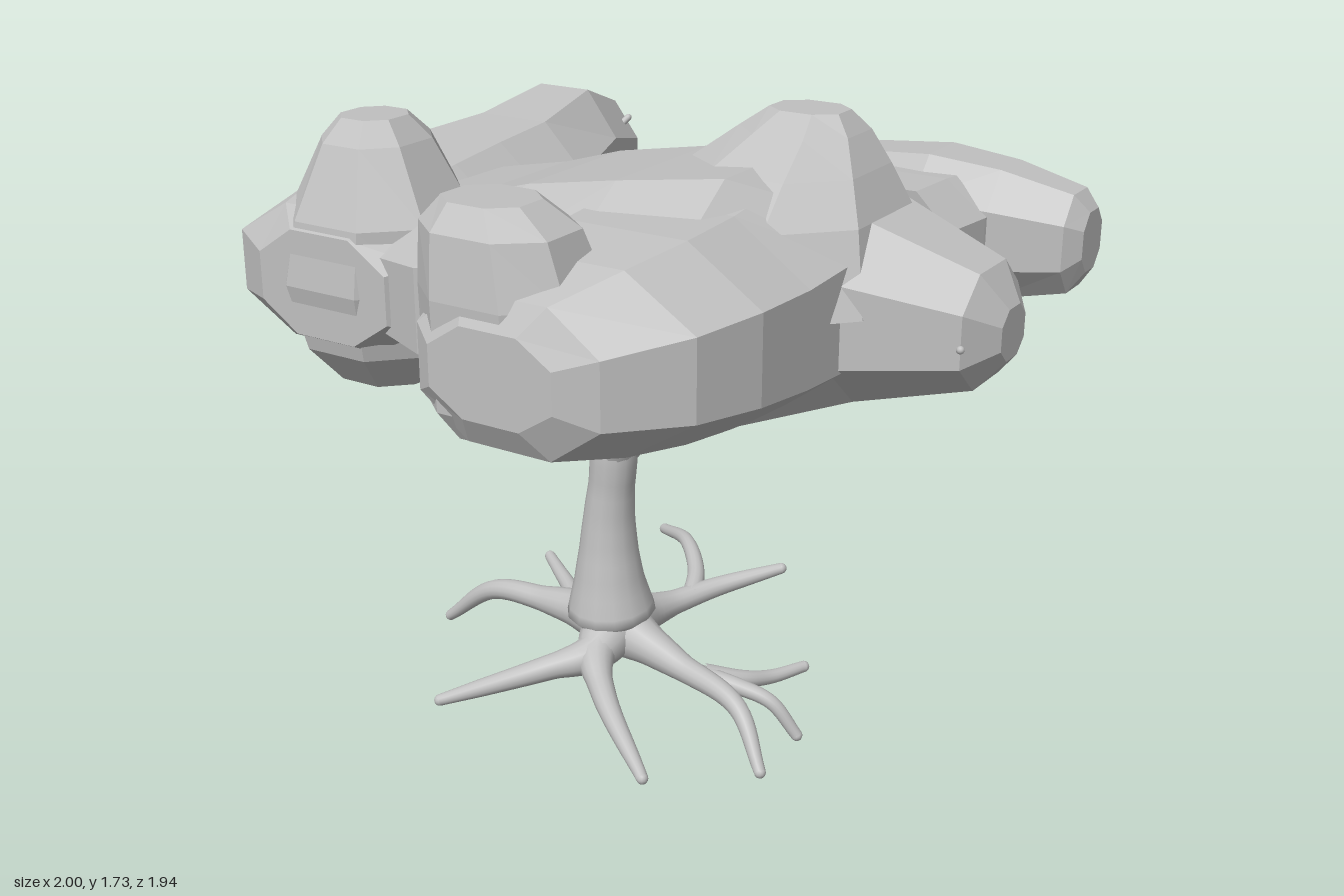
import * as THREE from 'three';
import { mergeVertices } from 'three/addons/utils/BufferGeometryUtils.js';

const grey = new THREE.MeshStandardMaterial({ color: 0xc0c0c0 });
grey.name = 'grey';

function addMesh(parent, geometry, name) {
  const mesh = new THREE.Mesh(geometry, grey);
  mesh.name = name;
  parent.add(mesh);
  return mesh;
}

// Eight-sided section, slightly fuller than a regular octagon
const F = 0.46;
const SECTION = [[1, F], [F, 1], [-F, 1], [-1, F], [-1, -F], [-F, -1], [F, -1], [1, -F]];

// Faceted loft along the given axis.
// Each station is [position, lowA, highA, lowB, highB]:
// axis x: A = z, B = y; axis z: A = x, B = y; axis y: A = x, B = z.
function loft(axis, stations) {
  const n = SECTION.length;
  const place = {
    x: (t, a, b) => [t, b, a],
    y: (t, a, b) => [a, t, b],
    z: (t, a, b) => [a, b, t],
  }[axis];
  const points = [];
  for (const [t, a0, a1, b0, b1] of stations) {
    for (const [p, q] of SECTION) {
      points.push(place(t, (a0 + a1 + p * (a1 - a0)) / 2, (b0 + b1 + q * (b1 - b0)) / 2));
    }
  }
  const index = [];
  const face = (a, b, c) => (axis === 'z' ? index.push(a, b, c) : index.push(a, c, b));
  for (let s = 0; s < stations.length - 1; s++) {
    for (let i = 0; i < n; i++) {
      const a = s * n + i, b = s * n + ((i + 1) % n);
      face(a, b, b + n);
      face(a, b + n, a + n);
    }
  }
  const last = (stations.length - 1) * n;
  for (let i = 1; i < n - 1; i++) {
    face(0, i + 1, i);
    face(last, last + i, last + i + 1);
  }
  const indexed = new THREE.BufferGeometry();
  indexed.setAttribute('position', new THREE.Float32BufferAttribute(points.flat(), 3));
  indexed.setIndex(index);
  const flat = indexed.toNonIndexed();
  flat.computeVertexNormals();
  return flat;
}

// Smooth tapering limb: a tube whose rings follow a list of radii, with a round tip.
function addLimb(parent, name, path, radii) {
  const group = new THREE.Group();
  group.name = name;
  const curve = new THREE.CatmullRomCurve3(path.map((p) => new THREE.Vector3(...p)));
  const steps = 28, sides = 14;
  let tube = new THREE.TubeGeometry(curve, steps, 1, sides);
  const pos = tube.attributes.position;
  const v = new THREE.Vector3();
  for (let s = 0; s <= steps; s++) {
    const u = s / steps;
    const centre = curve.getPointAt(u);
    const f = u * (radii.length - 1);
    const n = Math.min(Math.floor(f), radii.length - 2);
    const r = THREE.MathUtils.lerp(radii[n], radii[n + 1], f - n);
    for (let i = 0; i <= sides; i++) {
      const k = s * (sides + 1) + i;
      v.fromBufferAttribute(pos, k).sub(centre).multiplyScalar(r).add(centre);
      pos.setXYZ(k, v.x, v.y, v.z);
    }
  }
  tube.deleteAttribute('uv');
  tube.deleteAttribute('normal');
  tube = mergeVertices(tube);
  tube.computeVertexNormals();
  addMesh(group, tube, name + 'Tube');
  const tip = addMesh(group, new THREE.SphereGeometry(radii[radii.length - 1], 12, 8), name + 'Tip');
  tip.position.set(...path[path.length - 1]);
  parent.add(group);
}

export function createModel() {
  const tree = new THREE.Group();
  tree.name = 'tree';

  // Foliage: overlapping faceted masses
  const canopy = new THREE.Group();
  canopy.name = 'canopy';
  tree.add(canopy);
  addMesh(canopy, loft('x', [
    [-0.65, -0.05, 0.55, 1.09, 1.44],
    [-0.42, -0.17, 0.63, 1.05, 1.48],
    [-0.27, -0.19, 0.69, 1.03, 1.51],
    [-0.1, -0.2, 0.69, 1.01, 1.56],
    [0.15, -0.23, 0.68, 0.98, 1.6],
    [0.4, -0.32, 0.6, 0.99, 1.62],
    [0.64, -0.27, 0.27, 1.04, 1.51],
    [0.94, -0.15, 0.18, 1.12, 1.41],
    [1.0, -0.06, 0.08, 1.19, 1.32],
  ]), 'centralFoliage');
  addMesh(canopy, loft('z', [
    [-0.72, -0.73, -0.6, 1.2, 1.43],
    [-0.66, -0.81, -0.51, 1.12, 1.51],
    [-0.47, -0.83, -0.46, 1.09, 1.58],
    [-0.2, -0.87, -0.39, 1.05, 1.54],
    [0, -0.95, -0.37, 1.03, 1.52],
    [0.2, -0.97, -0.36, 1.03, 1.5],
    [0.42, -1.0, -0.34, 1.05, 1.47],
    [0.57, -0.96, -0.34, 1.08, 1.44],
    [0.65, -0.82, -0.4, 1.12, 1.4],
  ]), 'rightFoliage');
  addMesh(canopy, loft('y', [
    [0.97, -0.73, -0.47, 0.28, 0.54],
    [1.07, -0.81, -0.4, 0.2, 0.62],
    [1.25, -0.86, -0.36, 0.16, 0.66],
    [1.42, -0.82, -0.37, 0.2, 0.64],
    [1.61, -0.73, -0.47, 0.28, 0.56],
    [1.67, -0.68, -0.52, 0.34, 0.51],
  ]), 'rightFoliageCrown');
  addMesh(canopy, loft('y', [
    [1.3, 0.0, 0.72, -0.32, 0.46],
    [1.5, 0.06, 0.67, -0.27, 0.36],
    [1.6, 0.17, 0.62, -0.2, 0.25],
    [1.68, 0.27, 0.57, -0.14, 0.14],
    [1.73, 0.34, 0.53, -0.07, 0.08],
  ]), 'topCrown');
  addMesh(canopy, loft('z', [
    [-0.05, 0.1, 0.68, 1.0, 1.6],
    [0.2, -0.1, 0.67, 1.0, 1.58],
    [0.4, -0.1, 0.66, 1.02, 1.55],
    [0.6, -0.08, 0.65, 1.05, 1.54],
    [0.78, -0.1, 0.59, 1.07, 1.51],
    [0.93, -0.06, 0.44, 1.09, 1.45],
    [0.97, 0.0, 0.34, 1.16, 1.38],
  ]), 'frontFoliage');
  addMesh(canopy, loft('y', [
    [1.08, -0.05, 0.26, 0.64, 0.91],
    [1.15, -0.11, 0.31, 0.6, 0.95],
    [1.42, -0.11, 0.31, 0.6, 0.96],
    [1.57, -0.1, 0.26, 0.65, 0.94],
    [1.63, -0.05, 0.17, 0.7, 0.89],
  ]), 'frontCrown');
  addMesh(canopy, loft('z', [
    [-0.85, 0.2, 0.68, 1.1, 1.42],
    [-0.62, 0.21, 0.65, 1.08, 1.43],
    [-0.45, 0.25, 0.62, 1.06, 1.43],
    [-0.27, 0.2, 0.65, 1.03, 1.48],
    [-0.05, 0.12, 0.7, 1.0, 1.62],
  ]), 'backFoliageNeck');
  addMesh(canopy, loft('x', [
    [-0.07, -0.88, -0.74, 1.18, 1.35],
    [-0.03, -0.91, -0.69, 1.12, 1.4],
    [0.2, -0.94, -0.63, 1.08, 1.45],
    [0.44, -0.97, -0.6, 1.07, 1.47],
    [0.65, -0.94, -0.63, 1.08, 1.45],
    [0.85, -0.91, -0.69, 1.12, 1.4],
    [0.89, -0.88, -0.74, 1.18, 1.35],
  ]), 'backFoliageBar');

  // Trunk and the forks that carry the foliage
  addLimb(tree, 'trunk',
    [[-0.07, 0.18, 0.14], [-0.075, 0.35, 0.15], [-0.075, 0.55, 0.15], [-0.06, 0.72, 0.15], [-0.055, 0.85, 0.145]],
    [0.03, 0.125, 0.1, 0.083, 0.072, 0.064, 0.066, 0.06]);
  const forks = [
    [[-0.07, 0.77, 0.145], [-0.12, 0.87, 0.145], [-0.23, 1.0, 0.14], [-0.36, 1.13, 0.14]],
    [[-0.05, 0.77, 0.155], [-0.02, 0.88, 0.2], [0.02, 1.02, 0.27], [0.06, 1.15, 0.34]],
    [[-0.05, 0.77, 0.13], [0.02, 0.87, 0.06], [0.12, 1.0, -0.06], [0.23, 1.13, -0.16]],
  ];
  forks.forEach((path, i) => addLimb(tree, 'fork' + (i + 1), path, [0.058, 0.045, 0.035, 0.03]));

  // Roots: main roots leave the trunk, thinner ones split off them
  const mainRoots = [
    [[-0.07, 0.24, 0.14], [-0.3, 0.23, 0.13], [-0.5, 0.21, 0.13], [-0.68, 0.07, 0.12]],
    [[-0.06, 0.23, 0.16], [-0.05, 0.2, 0.27], [-0.14, 0.17, 0.37], [-0.39, 0.07, 0.53]],
    [[-0.06, 0.23, 0.16], [-0.04, 0.2, 0.27], [0.06, 0.15, 0.38], [0.28, 0.05, 0.53]],
    [[-0.06, 0.23, 0.14], [0.16, 0.18, 0.17], [0.38, 0.14, 0.22], [0.5, 0.02, 0.3]],
    [[-0.06, 0.23, 0.13], [-0.02, 0.21, -0.06], [0.06, 0.23, -0.2], [0.2, 0.27, -0.34]],
  ];
  const sideRoots = [
    [[-0.2, 0.24, 0.13], [-0.28, 0.25, 0.06], [-0.35, 0.26, 0.01], [-0.42, 0.27, -0.04]],
    [[0.2, 0.17, 0.17], [0.34, 0.15, 0.14], [0.43, 0.12, 0.12], [0.5, 0.03, 0.1]],
    [[0.24, 0.17, 0.16], [0.32, 0.14, 0.08], [0.36, 0.12, 0.0], [0.41, 0.12, -0.1]],
    [[0.02, 0.22, -0.13], [-0.02, 0.25, -0.22], [-0.12, 0.28, -0.33], [-0.27, 0.24, -0.44]],
  ];
  mainRoots.forEach((path, i) => addLimb(tree, 'root' + (i + 1), path, [0.09, 0.055, 0.036, 0.03, 0.024, 0.016]));
  sideRoots.forEach((path, i) => addLimb(tree, 'sideRoot' + (i + 1), path, [0.028, 0.024, 0.02, 0.016]));

  // Twig ends poking out of the foliage
  const twigs = [
    [[0.7, 1.2, 0], [0.82, 1.23, -0.13], [0.9, 1.26, -0.23]],
    [[0.75, 1.2, 0], [0.88, 1.23, 0.11], [0.94, 1.25, 0.18]],
    [[0.5, 1.3, 0.33], [0.57, 1.35, 0.36], [0.64, 1.39, 0.38]],
    [[-0.6, 1.35, -0.5], [-0.56, 1.42, -0.58], [-0.53, 1.47, -0.64]],
  ];
  twigs.forEach((path, i) => addLimb(tree, 'twig' + (i + 1), path, [0.014, 0.012, 0.01]));

  return tree;
}
